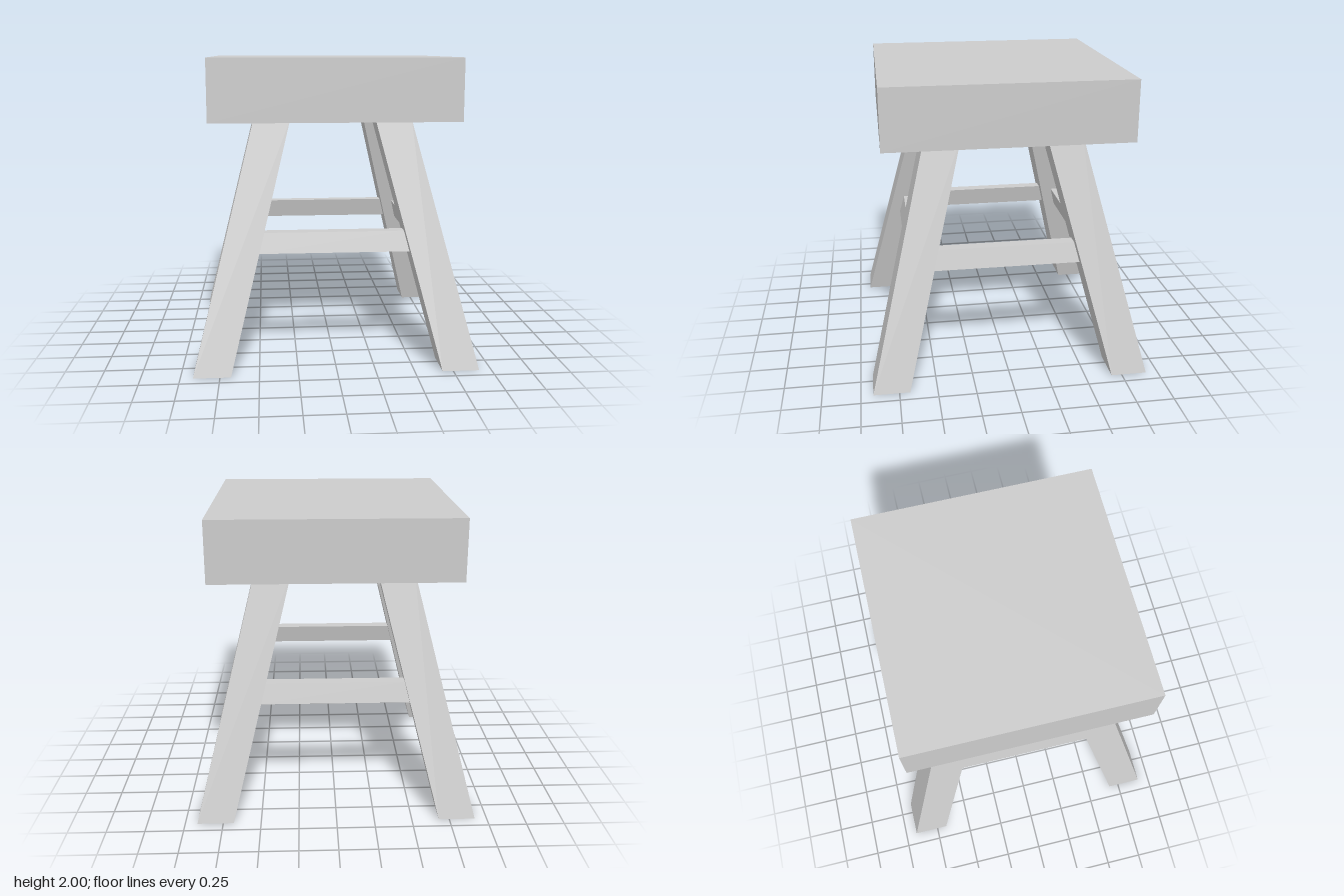
import * as THREE from 'three';

const SEAT_BOTTOM = 1.6;
const LEG = 0.24;
// distance of a leg's centre line from the middle plane at height y
const splay = (y) => 0.8 - 0.25 * y;

// box standing between two heights, with each vertex moved by a rule
function bentBox(w, y0, y1, d, rule) {
  const g = new THREE.BoxGeometry(w, y1 - y0, d).translate(0, (y0 + y1) / 2, 0);
  const p = g.attributes.position;
  const v = new THREE.Vector3();
  for (let i = 0; i < p.count; i++) {
    rule(v.fromBufferAttribute(p, i));
    p.setXYZ(i, v.x, v.y, v.z);
  }
  g.computeVertexNormals();
  return g;
}

export function createModel() {
  const group = new THREE.Group();
  const material = new THREE.MeshStandardMaterial({ color: 0xcccccc, flatShading: true });
  const add = (name, geometry) => {
    const mesh = new THREE.Mesh(geometry, material);
    mesh.name = name;
    group.add(mesh);
    return mesh;
  };

  // thick square seat
  add('seat', new THREE.BoxGeometry(1.6, 0.4, 1.6)).position.y = SEAT_BOTTOM + 0.2;

  // leg leaning outwards on both axes, cut level at foot and seat
  const leg = bentBox(LEG, 0, SEAT_BOTTOM, LEG, (v) => {
    v.x += splay(v.y);
    v.z += splay(v.y);
  });

  // stretcher leaning with the legs, its ends meeting their inner faces
  const stretcher = bentBox(2, 0.735, 0.868, 0.08, (v) => {
    v.x = Math.sign(v.x) * (splay(v.y) - LEG / 2);
    v.z += splay(v.y);
  });

  // one leg and one stretcher per side
  const legNames = ['frontLeftLeg', 'backLeftLeg', 'backRightLeg', 'frontRightLeg'];
  const barNames = ['frontStretcher', 'leftStretcher', 'backStretcher', 'rightStretcher'];
  for (let i = 0; i < 4; i++) {
    add(legNames[i], leg).rotation.y = (i * Math.PI) / 2;
    add(barNames[i], stretcher).rotation.y = (i * Math.PI) / 2;
  }
  return group;
}
